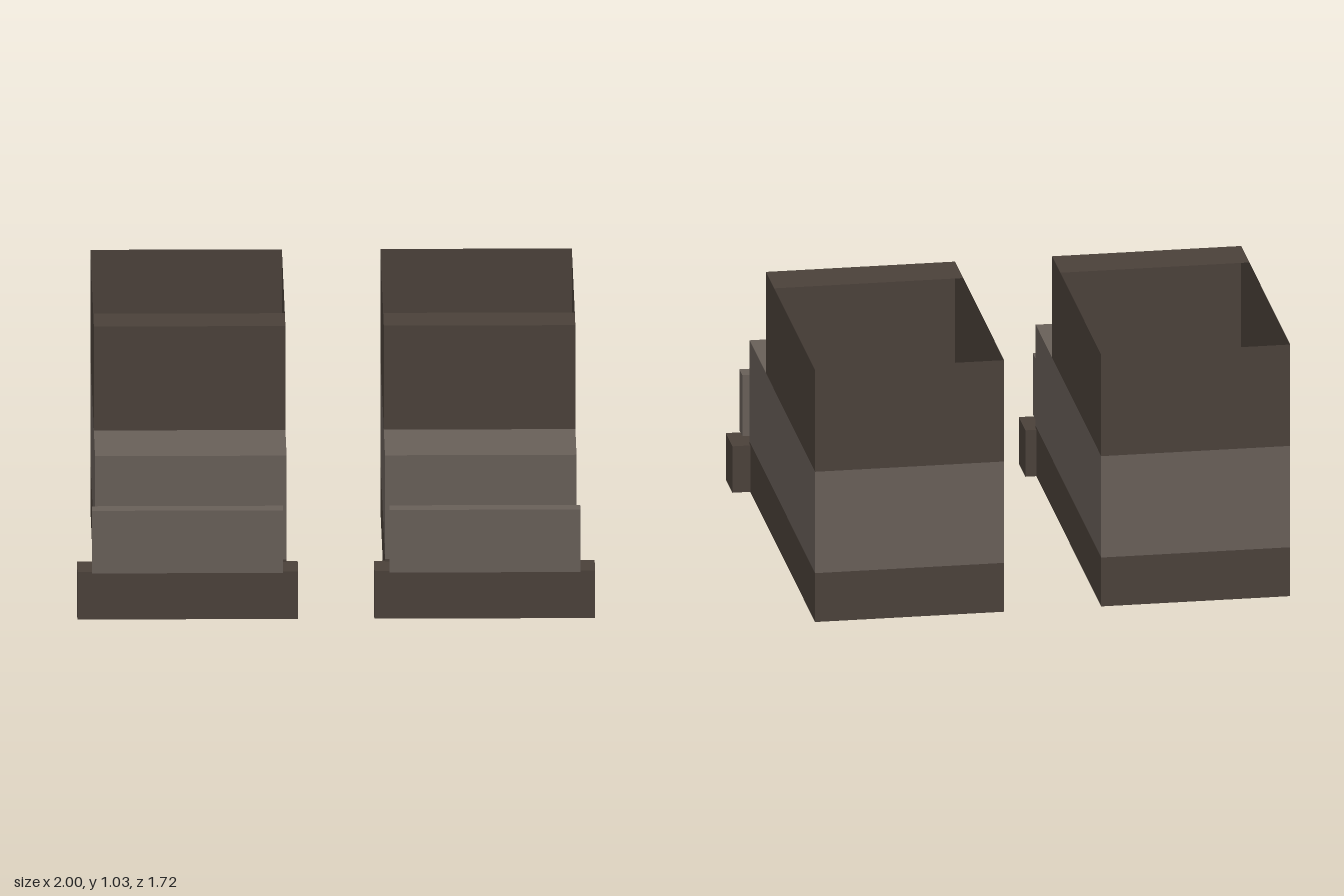
import * as THREE from 'three';

const darkLeather = new THREE.MeshStandardMaterial({ color: 0x4a4039, side: THREE.DoubleSide });
darkLeather.name = 'darkLeather';
const lightLeather = new THREE.MeshStandardMaterial({ color: 0x685f58, side: THREE.DoubleSide });
lightLeather.name = 'lightLeather';

// Box between two corners, keeping only the listed faces (0 +x, 1 -x, 2 +y, 3 -y, 4 +z, 5 -z)
function block(name, material, [x0, x1], [y0, y1], [z0, z1], faces = [0, 1, 2, 3, 4, 5]) {
  const geometry = new THREE.BoxGeometry(x1 - x0, y1 - y0, z1 - z0);
  const index = Array.from(geometry.index.array);
  geometry.setIndex(faces.flatMap((f) => index.slice(f * 6, f * 6 + 6)));
  geometry.clearGroups();
  geometry.translate((x0 + x1) / 2, (y0 + y1) / 2, (z0 + z1) / 2);
  const mesh = new THREE.Mesh(geometry, material);
  mesh.name = name;
  return mesh;
}

// Flat horizontal panel
function panel(name, material, [x0, x1], y, [z0, z1]) {
  const geometry = new THREE.PlaneGeometry(x1 - x0, z1 - z0).rotateX(-Math.PI / 2);
  geometry.translate((x0 + x1) / 2, y, (z0 + z1) / 2);
  const mesh = new THREE.Mesh(geometry, material);
  mesh.name = name;
  return mesh;
}

// One hollow boot; side is +1 for the left, -1 for the right
function createBoot(side) {
  const span = (a, b) => (side > 0 ? [a, b] : [-b, -a]);
  const width = span(0.19, 0.93);
  const back = -0.86, toe = 0.695, shin = 0.305;
  const walls = [0, 1, 4, 5];
  const boot = new THREE.Group();
  boot.name = side > 0 ? 'leftBoot' : 'rightBoot';
  boot.add(
    // Open shell: sole tray, foot band, toe top and shaft
    block('sole', darkLeather, width, [0, 0.2], [back, toe], [...walls, 3]),
    block('foot', lightLeather, width, [0.2, 0.615], [back, toe], walls),
    panel('toeTop', lightLeather, width, 0.615, [shin, toe]),
    block('shaft', darkLeather, width, [0.615, 1.03], [back, shin], walls),
    panel('shaftRim', darkLeather, width, 1.03, [0.11, shin]),
    // Toe bumper and the plate standing on it
    block('toeBumper', darkLeather, span(0.147, 1), [0, 0.19], [0.68, 0.837]),
    block('toePlate', lightLeather, span(0.206, 0.943), [0.19, 0.44], [0.79, 0.86])
  );
  return boot;
}

export function createModel() {
  const model = new THREE.Group();
  model.name = 'boots';
  for (const side of [1, -1]) model.add(createBoot(side));
  return model;
}
